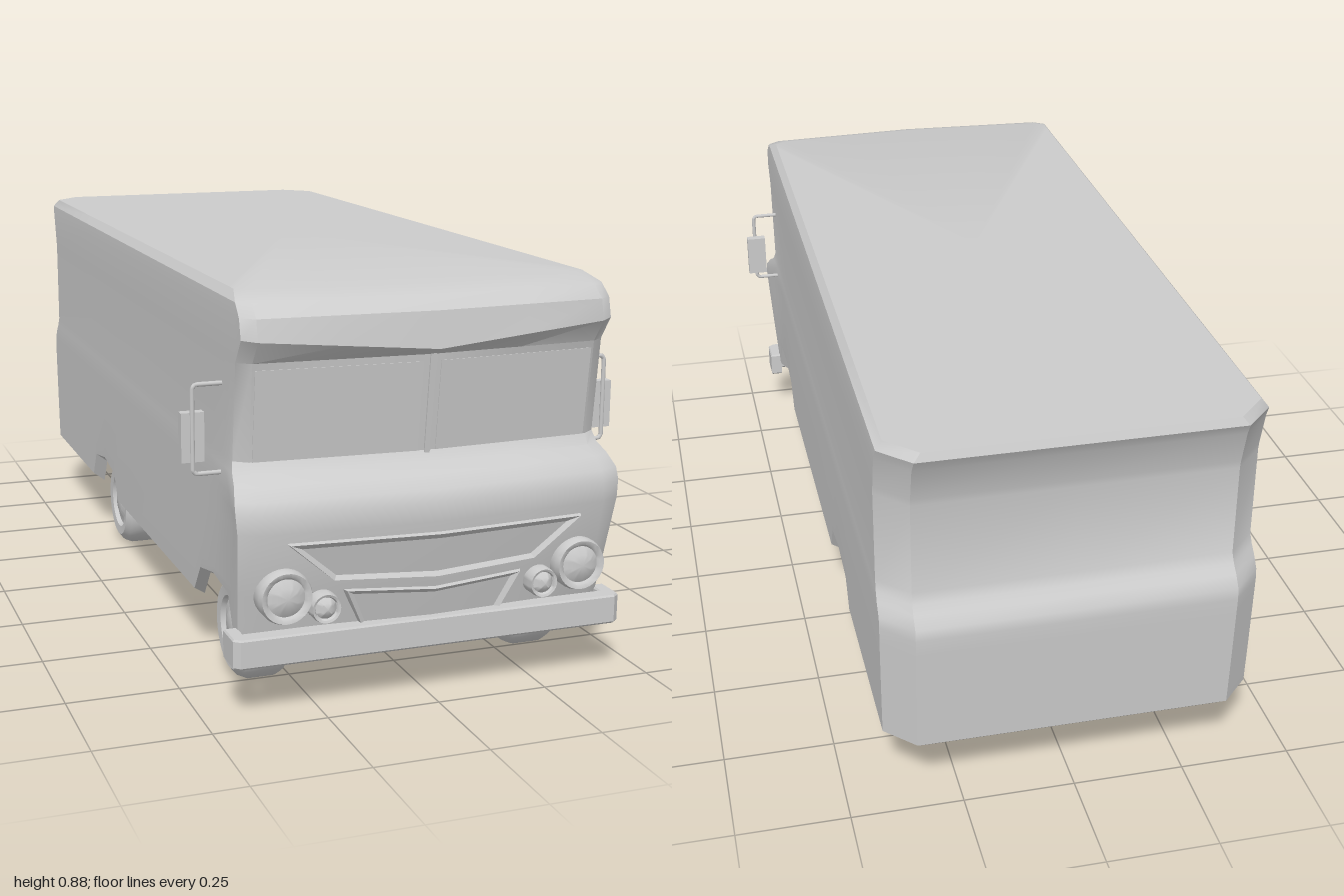
import * as THREE from 'three';
import { toCreasedNormals } from 'three/addons/utils/BufferGeometryUtils.js';

const mat = new THREE.MeshStandardMaterial({ color: 0xcccccc });
const shellMat = new THREE.MeshStandardMaterial({ color: 0xcccccc, side: THREE.DoubleSide });
const BOW = 0.055; // how far the front sweeps back per unit of width

function makeMesh(name, geometry, material = mat) {
  const m = new THREE.Mesh(geometry, material);
  m.name = name;
  return m;
}

function fromFaces(points, index, crease) {
  const g = new THREE.BufferGeometry();
  g.setAttribute('position', new THREE.Float32BufferAttribute(points.flat(), 3));
  g.setIndex(index);
  return toCreasedNormals(g, crease);
}

// Body rows from the skirt lip to the roof: y, half width, front z, back z, fender flare, visor peak
const ROWS = [
  [0.14, 0.385, 0.92, -0.965, 0, 0],
  [0.16, 0.413, 0.944, -0.988, 0.002, 0],
  [0.26, 0.414, 0.968, -0.992, 0.008, 0],
  [0.40, 0.415, 1.0, -0.997, 0.016, 0],
  [0.44, 0.415, 0.998, -0.999, 0.019, 0],
  [0.465, 0.415, 0.988, -0.997, 0.018, 0],
  [0.49, 0.415, 0.96, -0.978, 0.01, 0],
  [0.508, 0.414, 0.925, -0.963, 0.004, 0],
  [0.53, 0.413, 0.91, -0.952, 0, 0],
  [0.74, 0.413, 0.935, -0.953, 0, 0],
  [0.757, 0.413, 0.973, -0.956, 0, 0.035],
  [0.835, 0.413, 0.962, -0.978, 0, 0],
  [0.862, 0.411, 0.93, -0.994, 0, 0],
  [0.88, 0.396, 0.87, -0.986, 0, 0],
];
// Wheel arch columns along each side: z and height of the lower edge
const ARCHES = [
  [0.87, 0.14], [0.83, 0.215], [0.72, 0.225], [0.62, 0.205], [0.57, 0.14],
  [-0.17, 0.14], [-0.205, 0.205], [-0.315, 0.222], [-0.42, 0.205], [-0.46, 0.14],
];

function bodyRing([y, w, zf, zb, flare, peak], row) {
  const half = [0, 0.5 * w, 0.93 * w].map((x) => [x, y + peak * x / w, zf - BOW * x]);
  const front = zf - BOW * w - 0.02, back = zb + 0.065;
  half.push([w + flare, y + peak, front]);
  ARCHES.forEach(([z, edge], i) => {
    const t = (z + 0.925) / 1.825;
    const lift = row < 2 ? edge - 0.14 : 0;
    half.push([w + (i < 2 ? flare * (0.8 - 0.4 * i) : 0), y + lift, back + t * (front - back)]);
  });
  half.push([w, y, back], [w - 0.065, y, zb], [0, y, zb]);
  const mirrored = half.slice(1, -1).reverse().map(([x, py, z]) => [-x, py, z]);
  return half.concat(mirrored);
}

// Hollow shell, open underneath
function bodyGeometry() {
  const rings = ROWS.map(bodyRing);
  const n = rings[0].length, points = rings.flat(), index = [];
  for (let r = 0; r < rings.length - 1; r++) {
    for (let j = 0; j < n; j++) {
      const a = r * n + j, b = r * n + (j + 1) % n;
      index.push(a, b, b + n, a, b + n, a + n);
    }
  }
  const top = (rings.length - 1) * n, centre = points.length;
  points.push([0, 0.88, 0]);
  for (let j = 0; j < n; j++) index.push(top + j, top + (j + 1) % n, centre);
  return fromFaces(points, index, 0.6);
}

// Framed panel lying on the swept front: loops of [x, y] with an offset each, then a strip fill
function frontPanel(loops, baseZ) {
  const n = loops[0].pts.length, points = [], index = [];
  for (const { pts, out } of loops)
    for (const [x, y] of pts) points.push([x, y, baseZ(y) - BOW * Math.abs(x) + out]);
  for (let r = 0; r < loops.length - 1; r++) {
    for (let j = 0; j < n; j++) {
      const a = r * n + j, b = r * n + (j + 1) % n;
      index.push(a, b, b + n, a, b + n, a + n);
    }
  }
  const s = (loops.length - 1) * n;
  for (let k = 0; k < n / 2 - 1; k++) {
    const a = s + k, b = s + k + 1, c = s + n - 2 - k, d = s + n - 1 - k;
    index.push(a, b, c, a, c, d);
  }
  return fromFaces(points, index, 0.3);
}

const hoodZ = (y) => 0.907 + 0.2333 * y;
const glassZ = (y) => 0.91 + (y - 0.53) * 0.119;

// V-shaped loop: bottom left, centre, right, then top right, centre, left
const vLoop = (xb, yb, ybc, xt, yt, ytc) =>
  [[-xb, yb], [0, ybc], [xb, yb], [xt, yt], [0, ytc], [-xt, yt]];

function latheAlong(profile, axis, segments = 32) {
  const g = new THREE.LatheGeometry(profile.map(([r, h]) => new THREE.Vector2(r, h)), segments);
  if (axis === 'x') g.rotateZ(-Math.PI / 2); else g.rotateX(Math.PI / 2);
  return toCreasedNormals(g, 0.7);
}

function headlight(name, x, y, r) {
  const g = latheAlong([[r * 0.9, -0.04], [r, -0.03], [r, 0.012], [r * 0.93, 0.024],
    [r * 0.78, 0.022], [r * 0.7, 0.016], [r * 0.4, 0.026], [0, 0.03]], 'z');
  const m = makeMesh(name, g);
  m.position.set(x, y, hoodZ(y) - BOW * Math.abs(x) + 0.014);
  return m;
}

export function createModel() {
  const model = new THREE.Group();
  model.name = 'stepVan';
  model.add(makeMesh('body', bodyGeometry(), shellMat));

  // Grilles
  model.add(makeMesh('upperGrille', frontPanel([
    { pts: vLoop(0.225, 0.286, 0.272, 0.335, 0.379, 0.377), out: -0.004 },
    { pts: vLoop(0.228, 0.288, 0.275, 0.328, 0.376, 0.374), out: 0.012 },
    { pts: vLoop(0.222, 0.297, 0.285, 0.30, 0.364, 0.362), out: 0.003 },
  ], hoodZ)));
  model.add(makeMesh('lowerGrille', frontPanel([
    { pts: vLoop(0.16, 0.175, 0.175, 0.205, 0.262, 0.248), out: -0.004 },
    { pts: vLoop(0.158, 0.176, 0.176, 0.197, 0.259, 0.245), out: 0.012 },
    { pts: vLoop(0.148, 0.178, 0.178, 0.18, 0.248, 0.235), out: 0.003 },
  ], hoodZ)));

  // Bumper with wrapped ends
  const plan = [[-0.44, 0.895], [-0.44, 0.958], [-0.428, 0.968], [0.428, 0.968], [0.44, 0.958],
    [0.44, 0.895], [0.415, 0.895], [0.415, 0.935], [-0.415, 0.935], [-0.415, 0.895]];
  const bumper = new THREE.ExtrudeGeometry(
    new THREE.Shape(plan.map(([x, z]) => new THREE.Vector2(x, -z))),
    { depth: 0.057, bevelThickness: 0.004, bevelSize: 0.003, bevelSegments: 1 });
  bumper.rotateX(-Math.PI / 2).translate(0, 0.119, 0);
  model.add(makeMesh('bumper', bumper));

  // Windscreen divider
  const divider = makeMesh('windscreenDivider', new THREE.BoxGeometry(0.012, 0.225, 0.008));
  divider.position.set(0, 0.632, 0.922);
  divider.rotation.x = 0.119;
  model.add(divider);

  for (const s of [1, -1]) {
    const side = s > 0 ? 'left' : 'right';
    const [a, b] = s > 0 ? [0.02, 0.378] : [-0.378, -0.02];
    model.add(makeMesh(side + 'Windscreen', frontPanel([
      { pts: [[a, 0.53], [b, 0.53], [b, 0.725], [a, 0.725]], out: -0.002 },
      { pts: [[a, 0.53], [b, 0.53], [b, 0.725], [a, 0.725]], out: 0.002 },
    ], glassZ)));

    model.add(headlight(side + 'Headlight', s * 0.335, 0.264, 0.058));
    model.add(headlight(side + 'IndicatorLight', s * 0.248, 0.232, 0.033));

    // Mirror on a bent tube bracket
    const path = new THREE.CurvePath();
    const corners = [[0.385, 0.68], [0.47, 0.68], [0.477, 0.673], [0.477, 0.497], [0.47, 0.49], [0.385, 0.49]]
      .map(([x, y]) => new THREE.Vector3(s * x, y, 0.797));
    for (let i = 0; i < 5; i++) path.add(new THREE.LineCurve3(corners[i], corners[i + 1]));
    model.add(makeMesh(side + 'MirrorBracket', new THREE.TubeGeometry(path, 64, 0.005, 8)));
    const mirror = makeMesh(side + 'Mirror', new THREE.BoxGeometry(0.05, 0.106, 0.022));
    mirror.position.set(s * 0.475, 0.567, 0.782);
    model.add(mirror);
  }

  // Wheels and axles
  const wheel = latheAlong([[0, -0.04], [0.06, -0.04], [0.066, -0.054], [0.092, -0.057], [0.107, -0.045],
    [0.115, -0.028], [0.115, 0.028], [0.107, 0.045], [0.092, 0.057], [0.07, 0.055], [0.063, 0.045],
    [0.045, 0.047], [0.03, 0.054], [0, 0.055]], 'x', 36);
  const axle = latheAlong([[0, -0.29], [0.027, -0.29], [0.027, -0.092], [0.043, -0.066],
    [0.043, 0.066], [0.027, 0.092], [0.027, 0.29], [0, 0.29]], 'x', 16);
  for (const [name, z] of [['front', 0.72], ['rear', -0.315]]) {
    const bar = makeMesh(name + 'Axle', axle);
    bar.position.set(0, 0.115, z);
    model.add(bar);
    for (const s of [1, -1]) {
      const w = makeMesh(name + (s > 0 ? 'Left' : 'Right') + 'Wheel', wheel);
      w.position.set(s * 0.321, 0.115, z);
      if (s < 0) w.rotation.y = Math.PI;
      model.add(w);
    }
  }
  return model;
}
